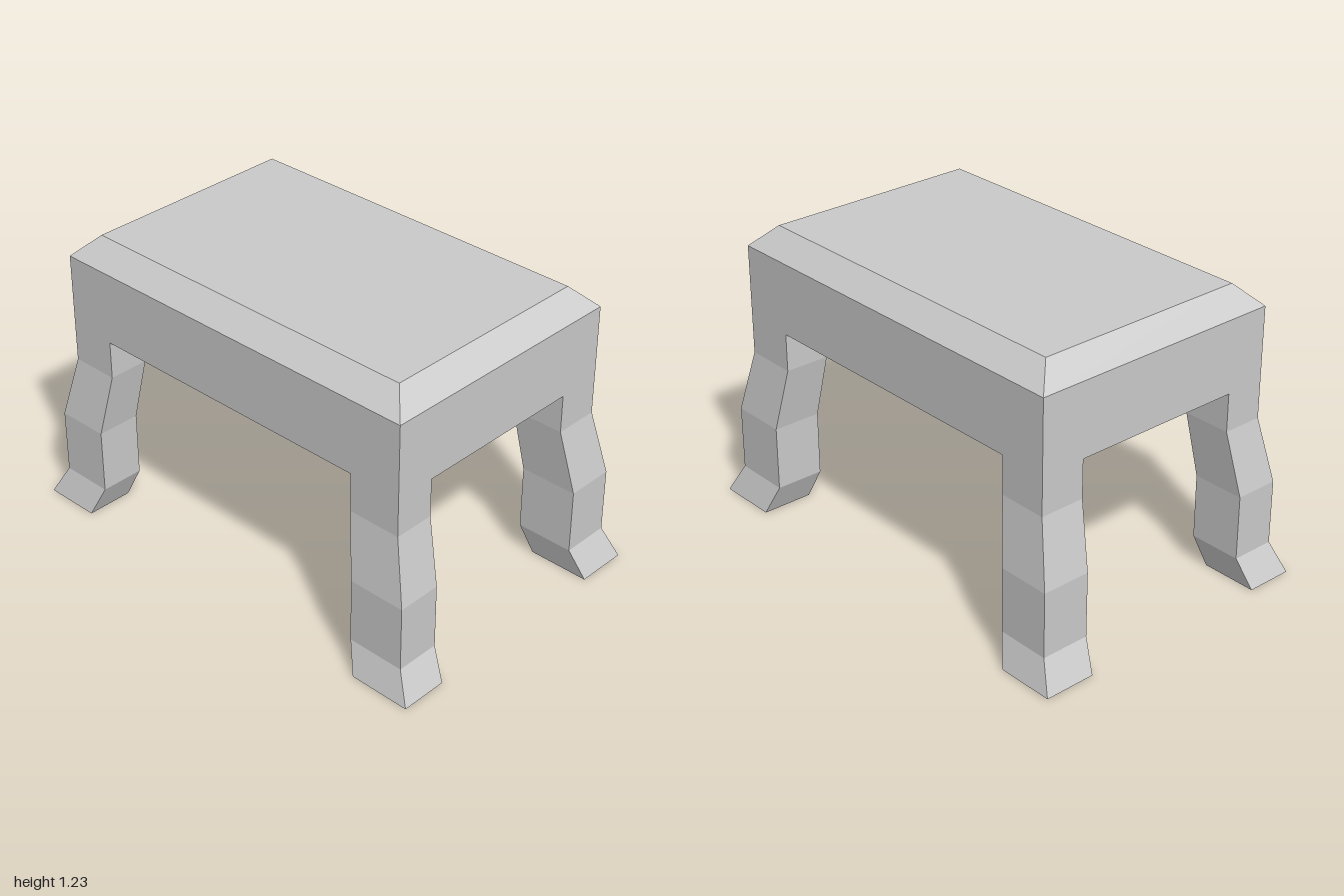
import * as THREE from 'three';

const material = new THREE.MeshStandardMaterial({ color: 0xcccccc, flatShading: true });

// Rectangular cross-section at height y, counter-clockwise from above
function rect(y, xa, xb, za, zb) {
  const x0 = Math.min(xa, xb), x1 = Math.max(xa, xb);
  const z0 = Math.min(za, zb), z1 = Math.max(za, zb);
  return [[x0, y, z1], [x1, y, z1], [x1, y, z0], [x0, y, z0]];
}

// Joins successive cross-sections, closing the first and optionally the last
function loft(name, rings, capEnd) {
  const positions = [];
  const quad = (a, b, c, d) => positions.push(...a, ...b, ...c, ...a, ...c, ...d);
  quad(...[...rings[0]].reverse());
  for (let r = 0; r < rings.length - 1; r++) {
    for (let i = 0; i < 4; i++) {
      const j = (i + 1) % 4;
      quad(rings[r][i], rings[r][j], rings[r + 1][j], rings[r + 1][i]);
    }
  }
  if (capEnd) quad(...rings[rings.length - 1]);
  const geometry = new THREE.BufferGeometry();
  geometry.setAttribute('position', new THREE.Float32BufferAttribute(positions, 3));
  geometry.computeVertexNormals();
  const mesh = new THREE.Mesh(geometry, material);
  mesh.name = name;
  return mesh;
}

export function createModel() {
  const group = new THREE.Group();
  group.name = 'lowTable';

  // Bevelled top and apron, hollow underneath
  group.add(loft('tableTop', [
    rect(1.02, -0.385, 0.365, -0.66, 0.64),
    rect(0.832, -0.385, 0.365, -0.66, 0.64),
    rect(0.832, -0.56, 0.56, -0.87, 0.87),
    rect(1.142, -0.56, 0.56, -0.87, 0.87),
    rect(1.232, -0.468, 0.468, -0.78, 0.78),
  ], true));

  // Leg sections from foot to apron: y, outer x, inner x, outer z, inner z
  const sections = [
    [0, 0.643, 0.43, 1, 0.746],
    [0.125, 0.602, 0.402, 0.934, 0.695],
    [0.4, 0.602, 0.402, 0.934, 0.695],
    [0.67, 0.56, 0.375, 0.87, 0.65],
    [0.832, 0.56, 0.375, 0.87, 0.65],
  ];

  // Inner faces are set slightly toward -x and -z
  const shift = 0.01;
  for (const [sx, side] of [[1, 'Left'], [-1, 'Right']]) {
    for (const [sz, end] of [[1, 'front'], [-1, 'back']]) {
      const rings = sections.map(([y, xo, xi, zo, zi]) =>
        rect(y, sx * xo, sx * xi - shift, sz * zo, sz * zi - shift));
      group.add(loft(`${end}${side}Leg`, rings, false));
    }
  }
  return group;
}
